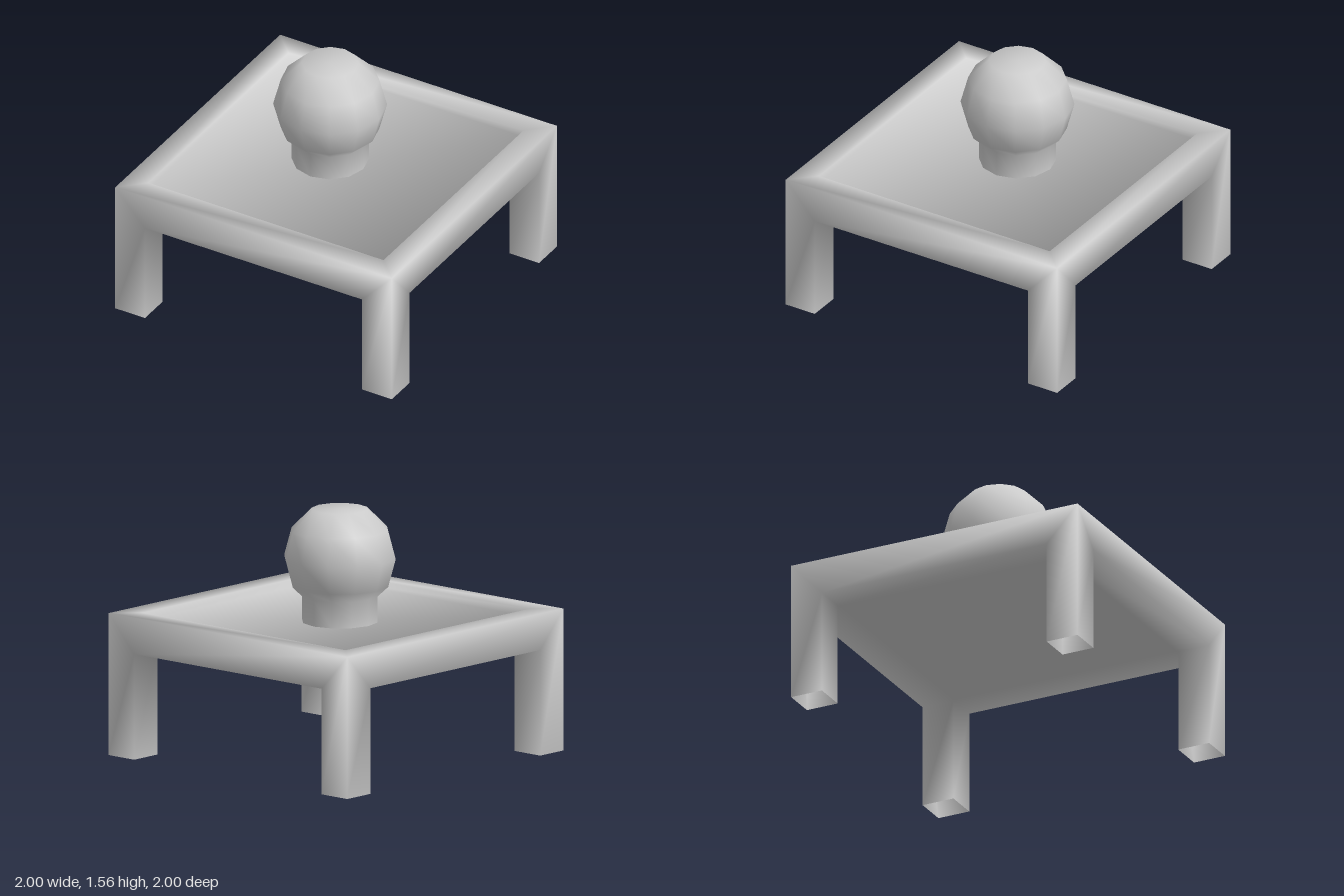
import * as THREE from 'three';
import { mergeVertices } from 'three/addons/utils/BufferGeometryUtils.js';

const TOP = 0.9, UNDER = 0.67, FLOOR = 0.85;
const LEG = 0.785, RIM = 0.85;

const material = new THREE.MeshStandardMaterial({ color: 0xcccccc, side: THREE.DoubleSide });

// Welds counter-clockwise quads into one smooth surface; every quad counts
// equally in the normals, so large faces also look softly rounded.
function quadSurface(name, quads) {
  const positions = [], normals = [], sums = new Map();
  const key = p => p.map(v => Math.round(v * 1000)).join();
  for (const q of quads) {
    const [a, b, c] = q.map(p => new THREE.Vector3(...p));
    const n = b.sub(a).cross(c.sub(a)).normalize();
    for (const p of q) {
      if (!sums.has(key(p))) sums.set(key(p), new THREE.Vector3());
      sums.get(key(p)).add(n);
    }
  }
  for (const q of quads) {
    for (const i of [0, 1, 2, 0, 2, 3]) {
      positions.push(...q[i]);
      normals.push(...sums.get(key(q[i])).clone().normalize());
    }
  }
  const g = new THREE.BufferGeometry();
  g.setAttribute('position', new THREE.Float32BufferAttribute(positions, 3));
  g.setAttribute('normal', new THREE.Float32BufferAttribute(normals, 3));
  const mesh = new THREE.Mesh(mergeVertices(g), material);
  mesh.name = name;
  return mesh;
}

// Repeats the quads of one side around the four sides of the table.
function fourSides(quads) {
  const out = [];
  for (let k = 0; k < 4; k++) {
    out.push(...quads.map(q => q.map(([x, y, z]) => {
      for (let i = 0; i < k; i++) [x, z] = [z, -x];
      return [x, y, z];
    })));
  }
  return out;
}

// Horizontal square of half-width h, facing up or down.
function square(h, y, up) {
  const q = [[-h, y, h], [h, y, h], [h, y, -h], [-h, y, -h]];
  return up ? q : q.reverse();
}

// Upright panel on the plane z.
const panel = (x0, x1, y0, y1, z) => [[x0, y0, z], [x1, y0, z], [x1, y1, z], [x0, y1, z]];

function createTable() {
  const side = [
    // Outer face: rail mitred into two legs
    [[-LEG, UNDER, 1], [LEG, UNDER, 1], [1, TOP, 1], [-1, TOP, 1]],
    [[-1, 0, 1], [-LEG, 0, 1], [-LEG, UNDER, 1], [-1, TOP, 1]],
    [[LEG, 0, 1], [1, 0, 1], [1, TOP, 1], [LEG, UNDER, 1]],
    // Inner faces of the open-ended legs
    panel(1, LEG, 0, UNDER, LEG),
    panel(-LEG, -1, 0, UNDER, LEG),
    // Bottom of the rail
    [[-LEG, UNDER, LEG], [LEG, UNDER, LEG], [LEG, UNDER, 1], [-LEG, UNDER, 1]],
    // Rim and the wall down to the sunken top
    [[-1, TOP, 1], [1, TOP, 1], [RIM, TOP, RIM], [-RIM, TOP, RIM]],
    panel(RIM, -RIM, FLOOR, TOP, RIM),
  ];
  return quadSurface('table', [
    ...fourSides(side),
    square(LEG, UNDER, false),
    square(RIM, FLOOR, true),
  ]);
}

function createKnob() {
  // Neck rising into a ball with a flattened top
  const R = 0.354, CENTRE = 1.255, NECK = 0.24;
  const profile = [new THREE.Vector2(NECK, FLOOR), new THREE.Vector2(NECK, 1.015)];
  for (let lat = -30; lat <= 60; lat += 30) {
    const a = THREE.MathUtils.degToRad(lat);
    profile.push(new THREE.Vector2(R * Math.cos(a), CENTRE + R * Math.sin(a)));
  }
  profile.push(new THREE.Vector2(0, profile[5].y));
  const knob = new THREE.Mesh(new THREE.LatheGeometry(profile, 12), material);
  knob.name = 'knob';
  knob.position.set(-0.061, 0, -0.031);
  return knob;
}

export function createModel() {
  const model = new THREE.Group();
  model.name = 'tableWithKnob';
  model.add(createTable(), createKnob());
  return model;
}
